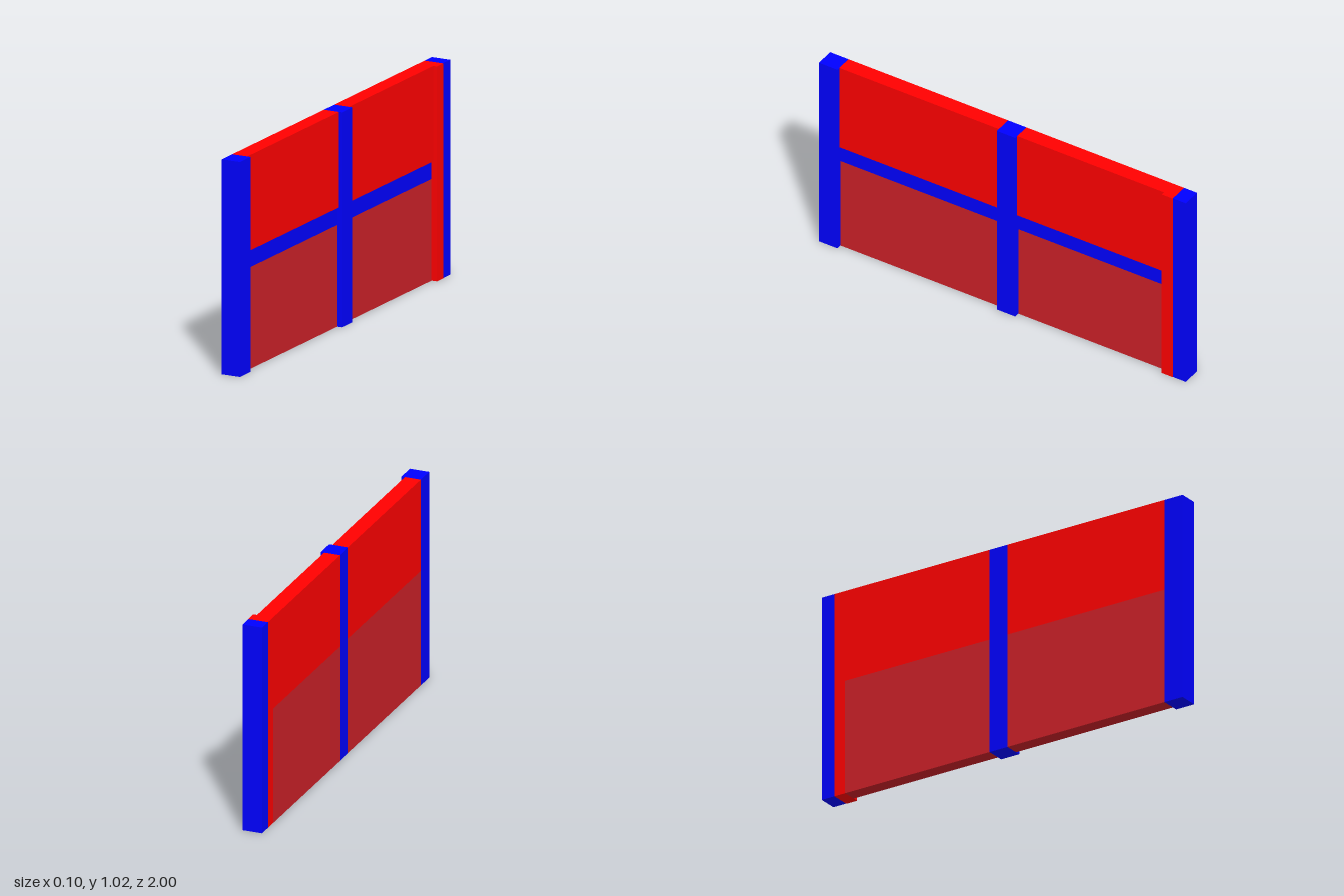
import * as THREE from 'three';

const HEIGHT = 1.025;
const BACK = -0.049; // common flush plane of all parts

const paint = (color) => new THREE.MeshStandardMaterial({ color, flatShading: true });

export function createModel() {
  const group = new THREE.Group();
  const blue = paint(0x0000ff);
  const red = paint(0xff0000);
  const darkRed = paint(0xcb2028);

  // Box given by its extents on each axis
  function block(name, material, [x0, x1], [y0, y1], [z0, z1]) {
    const mesh = new THREE.Mesh(new THREE.BoxGeometry(x1 - x0, y1 - y0, z1 - z0), material);
    mesh.position.set((x0 + x1) / 2, (y0 + y1) / 2, (z0 + z1) / 2);
    mesh.name = name;
    group.add(mesh);
  }

  // Upright posts
  block('frontPost', blue, [BACK, 0.047], [0, HEIGHT], [0.9, 1]);
  block('middlePost', blue, [BACK, 0.047], [0, HEIGHT], [-0.07, 0.03]);
  block('rearPost', blue, [BACK, 0.047], [0, HEIGHT], [-1, -0.93]);

  // Trim strip beside the rear post
  block('trimStrip', red, [BACK, 0.049], [0, HEIGHT], [-0.93, -0.87]);

  // Two bays: lower panel, rail on its face, upper planks
  const bays = [
    { name: 'front', seams: [0.03, 0.37, 0.78, 0.9] },
    { name: 'rear', seams: [-0.87, -0.78, -0.38, -0.07] },
  ];
  for (const { name, seams } of bays) {
    const span = [seams[0], seams[seams.length - 1]];
    block(`${name}LowerPanel`, darkRed, [BACK, 0.021], [0, 0.485], span);
    block(`${name}LowerPanelBacking`, darkRed, [BACK, 0], [0.485, 0.57], span);
    block(`${name}Rail`, blue, [0, 0.021], [0.485, 0.57], span);
    for (let i = 0; i < seams.length - 1; i++) {
      block(`${name}UpperPlank${i + 1}`, red, [BACK, 0.03], [0.57, HEIGHT], [seams[i], seams[i + 1]]);
    }
  }
  return group;
}
